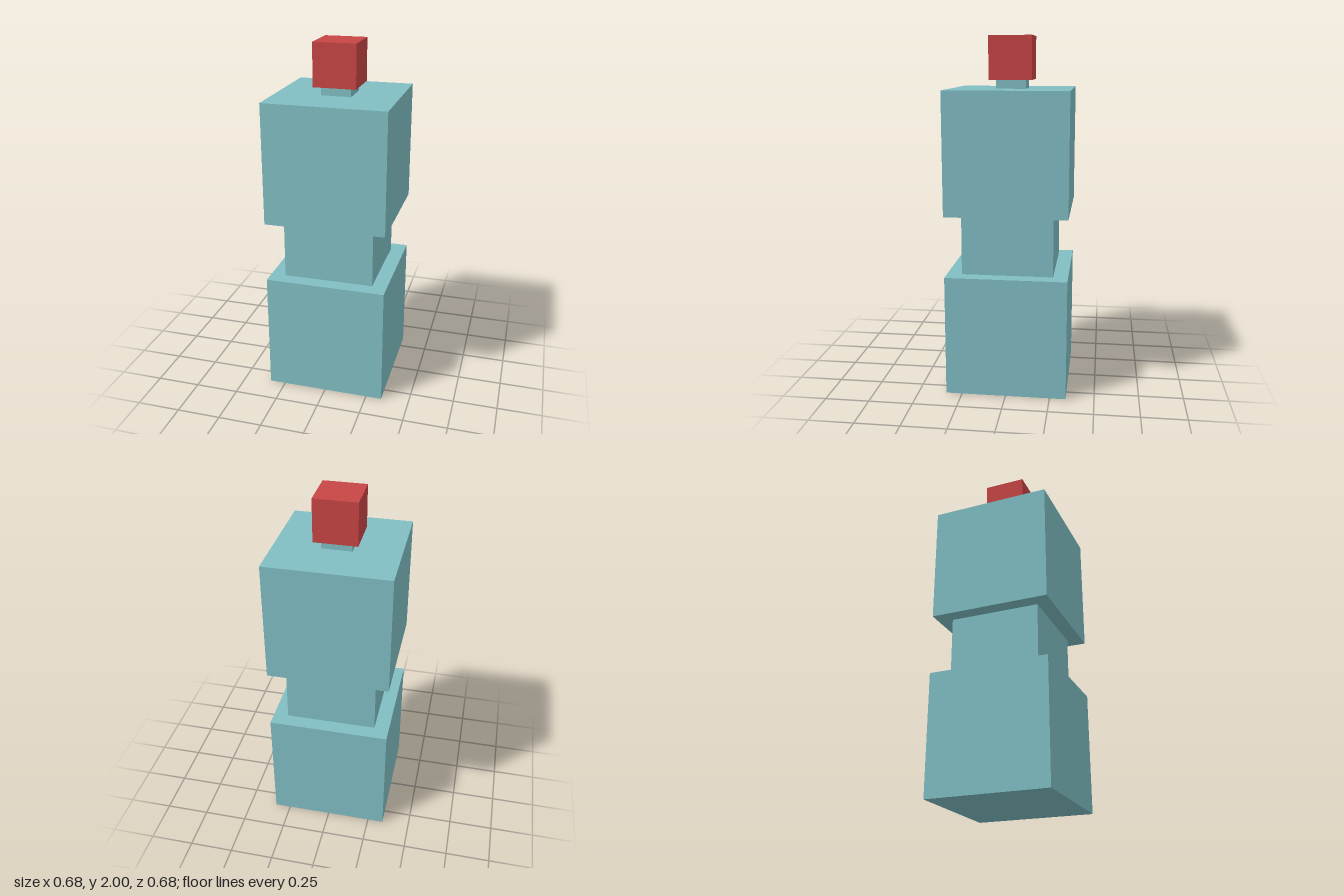
import * as THREE from 'three';

export function createModel() {
  const model = new THREE.Group();
  model.name = 'stackedBottle';

  const teal = new THREE.MeshStandardMaterial({ color: 0x80bec4 });
  teal.name = 'teal';
  const red = new THREE.MeshStandardMaterial({ color: 0xc84545 });
  red.name = 'red';

  // Square blocks stacked from the ground up: name, width, bottom, top, material
  const blocks = [
    ['lowerBody', 0.682, 0, 0.685, teal],
    ['waist', 0.514, 0.685, 1.029, teal],
    ['upperBody', 0.682, 1.029, 1.711, teal],
    ['neck', 0.168, 1.711, 1.76, teal],
    ['cap', 0.24, 1.76, 2, red],
  ];

  for (const [name, width, bottom, top, material] of blocks) {
    const block = new THREE.Mesh(new THREE.BoxGeometry(width, top - bottom, width), material);
    block.name = name;
    block.position.y = (bottom + top) / 2;
    model.add(block);
  }

  return model;
}
